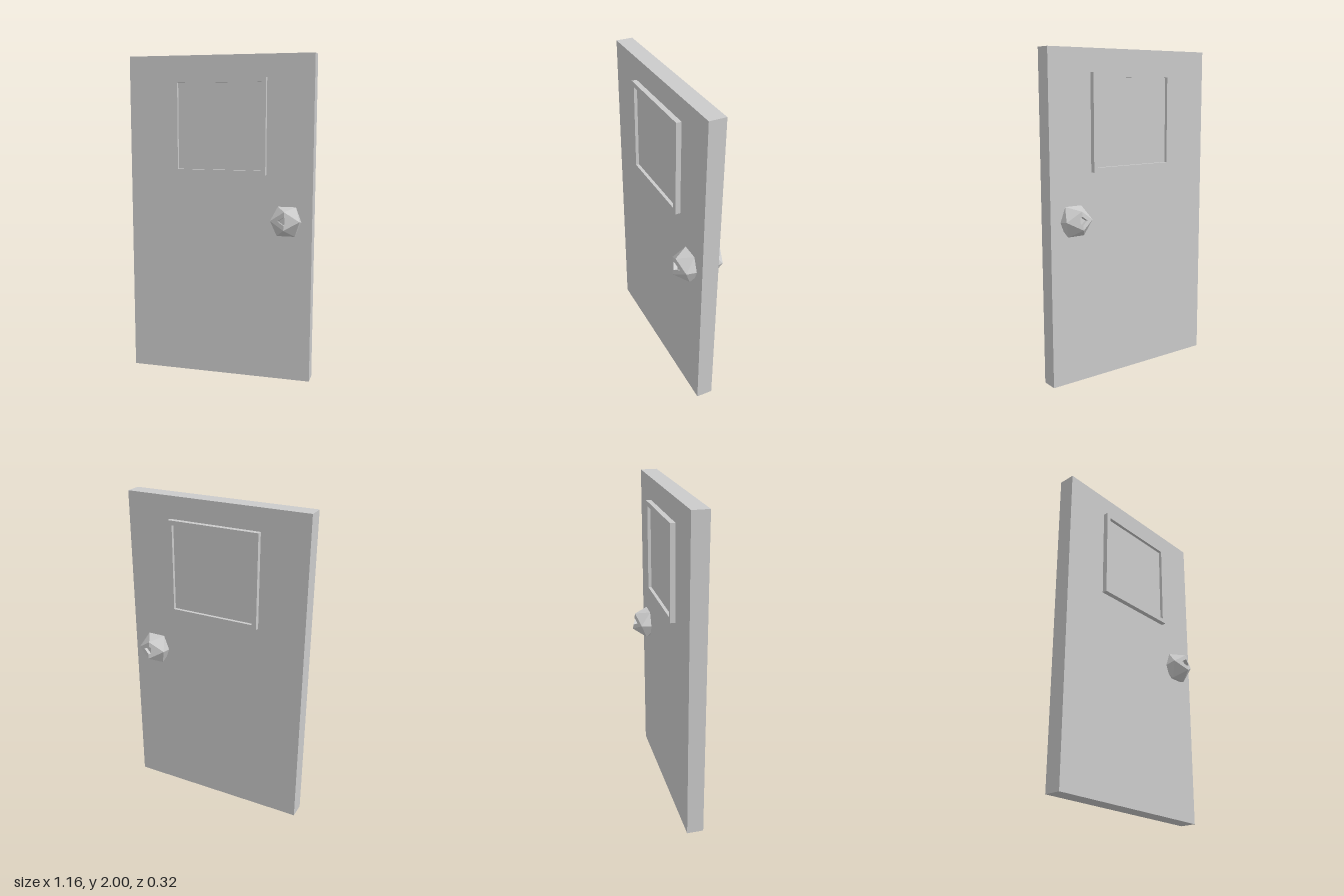
import * as THREE from 'three';

const material = new THREE.MeshStandardMaterial({ color: 0xcccccc, flatShading: true });

function box(name, w, h, d, x, y, z) {
  const mesh = new THREE.Mesh(new THREE.BoxGeometry(w, h, d), material);
  mesh.name = name;
  mesh.position.set(x, y, z);
  return mesh;
}

// Twenty-sided knob with a folded diamond keyhole sunk into its front edge
function knobGeometry(radius) {
  const long = radius * 0.8507, short = radius * 0.5257; // vertex coordinates
  const halfW = 0.042, halfH = 0.025, depth = 0.026;
  const out = [];
  const V = (x, y, z) => new THREE.Vector3(x, y, z);
  const poly = (pts, flip) => {
    const p = flip ? [...pts].reverse() : pts;
    for (let i = 1; i < p.length - 1; i++)
      for (const v of [p[0], p[i], p[i + 1]]) out.push(v.x, v.y, v.z);
  };

  // All faces except the two that meet along the front edge
  const pos = new THREE.IcosahedronGeometry(radius, 0).getAttribute('position');
  for (let i = 0; i < pos.count; i += 3) {
    const tri = [0, 1, 2].map((k) => new THREE.Vector3().fromBufferAttribute(pos, i + k));
    if (tri.filter((v) => v.z > long * 0.98).length < 2) poly(tri, false);
  }

  // The two front faces, each with half of the keyhole
  const top = V(0, short, long), bottom = V(0, -short, long);
  for (const s of [1, -1]) {
    const side = V(s * long, 0, short);
    const p = V(0, halfH, long), r = V(0, -halfH, long);
    const q = V(s * halfW, 0, long - (halfW / long) * (long - short));
    const [p2, q2, r2] = [p, q, r].map((v) => V(v.x, v.y, v.z - depth));
    const flip = s < 0;
    poly([top, p, q, side], flip);
    poly([r, bottom, side, q], flip);
    poly([p, p2, q2, q], flip);
    poly([q, q2, r2, r], flip);
    poly([p2, r2, q2], flip);
  }

  const geometry = new THREE.BufferGeometry();
  geometry.setAttribute('position', new THREE.Float32BufferAttribute(out, 3));
  geometry.computeVertexNormals();
  return geometry;
}

export function createModel() {
  const model = new THREE.Group();
  model.name = 'door';

  // Door leaf
  model.add(box('doorPanel', 1.16, 2, 0.103, 0, 1, 0));

  // Window frame and recessed pane, standing proud of both faces
  const outer = 0.582, inner = 0.526, frameDepth = 0.166;
  const square = (size) => [[-1, -1], [1, -1], [1, 1], [-1, 1]]
    .map(([x, y]) => new THREE.Vector2((x * size) / 2, (y * size) / 2));
  const shape = new THREE.Shape(square(outer));
  shape.holes.push(new THREE.Path(square(inner)));
  const frame = new THREE.Mesh(
    new THREE.ExtrudeGeometry(shape, { depth: frameDepth, bevelEnabled: false }), material);
  frame.name = 'windowFrame';
  frame.position.set(0.005, 1.573, -frameDepth / 2);
  model.add(frame);
  model.add(box('windowPane', inner, inner, frameDepth - 0.04, 0.005, 1.573, 0));

  // A knob on each face, tilted slightly upward
  const geometry = knobGeometry(0.105).rotateX(-0.157);
  for (const [name, turn] of [['frontKnob', 0], ['backKnob', Math.PI]]) {
    const knob = new THREE.Mesh(geometry, material);
    knob.name = name;
    knob.rotation.y = turn;
    knob.position.set(0.425, 1.005, turn ? -0.064 : 0.064);
    model.add(knob);
  }
  return model;
}
